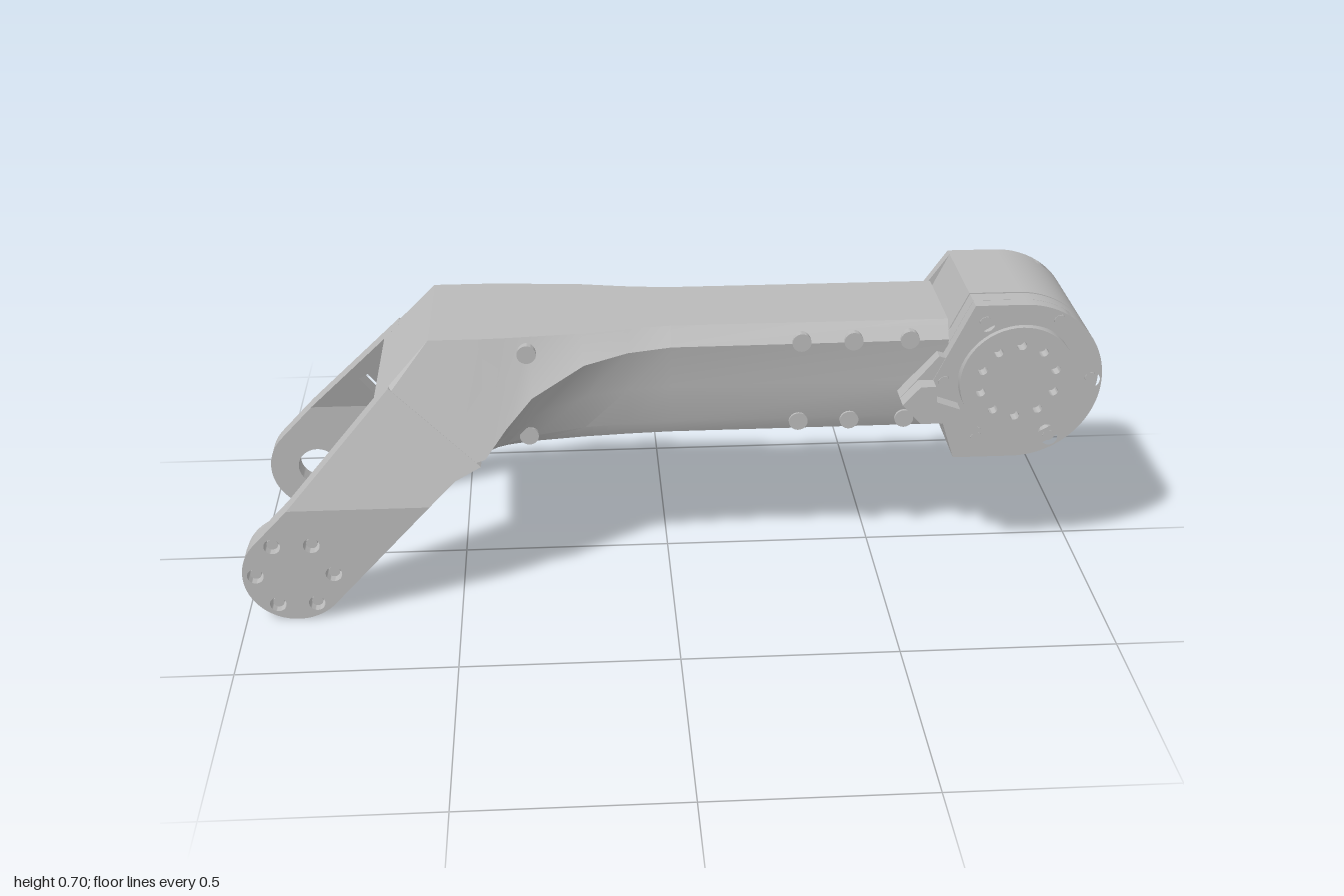
import * as THREE from 'three';
import { toCreasedNormals } from 'three/addons/utils/BufferGeometryUtils.js';

const gray = new THREE.MeshStandardMaterial({ color: 0xbababa });
gray.name = 'machined gray';

const MX = 0.805, MY = 0.51, MR = 0.195;   // motor axis and radius
const PX = -0.88, PY = 0.12, PR = 0.12;    // fork pivot and radius
const SLOPE = 0.344, CREASE = 0.29;        // lean of the fork sides above the crease

function add(group, name, geo, angle = 0.5) {
  const mesh = new THREE.Mesh(toCreasedNormals(geo, angle), gray);
  mesh.name = name;
  group.add(mesh);
}

function extrude(shape, z0, z1) {
  const geo = new THREE.ExtrudeGeometry(shape, { depth: z1 - z0, bevelEnabled: false, curveSegments: 28 });
  return geo.translate(0, 0, z0);
}

// disc whose axis runs along z
function disc(x, y, z0, z1, r) {
  return new THREE.CylinderGeometry(r, r, z1 - z0, 32).rotateX(Math.PI / 2).translate(x, y, (z0 + z1) / 2);
}

function circle(x, y, r) {
  return new THREE.Shape().absarc(x, y, r, 0, Math.PI * 2, false);
}

function hole(shape, x, y, r) {
  shape.holes.push(new THREE.Path().absarc(x, y, r, 0, Math.PI * 2, true));
}

function circlePoints(cx, cy, r, n, start = 0) {
  return Array.from({ length: n }, (_, i) => {
    const a = start + (i * Math.PI * 2) / n;
    return [cx + r * Math.cos(a), cy + r * Math.sin(a)];
  });
}

function polygon(points) {
  return new THREE.Shape(points.map(([x, y]) => new THREE.Vector2(x, y)));
}

// Beam flaring into the fork bridge: x, top y, top z, shoulder y, shoulder z, bottom y, bottom z
function beamGeometry() {
  const rows = [
    [-0.68, 0.51, 0.19, 0.49, 0.214, 0.48, 0.20],
    [-0.55, 0.65, 0.157, 0.33, 0.269, 0.31, 0.21],
    [-0.50, 0.65, 0.157, 0.37, 0.255, 0.335, 0.20],
    [-0.43, 0.65, 0.157, 0.39, 0.248, 0.37, 0.18],
    [-0.38, 0.65, 0.155, 0.455, 0.226, 0.375, 0.165],
    [-0.32, 0.65, 0.15, 0.52, 0.204, 0.375, 0.15],
    [-0.20, 0.65, 0.14, 0.588, 0.18, 0.375, 0.135],
    [-0.10, 0.65, 0.122, 0.605, 0.156, 0.375, 0.127],
    [0.0, 0.65, 0.11, 0.61, 0.142, 0.375, 0.122],
    [0.64, 0.65, 0.11, 0.61, 0.138, 0.375, 0.12],
  ];
  const rings = rows.map(([x, yt, zt, yc, zc, yb, zb]) => {
    const half = [
      [zt, yt], [zc, yc],
      [zb + 0.3 * (zc - zb), yb + 0.55 * (yc - yb)],
      [zb, yb + 0.15 * (yc - yb)], [zb - 0.015, yb],
    ];
    const ring = [...half, ...half.slice().reverse().map(([z, y]) => [-z, y])];
    return ring.map(([z, y]) => [x, y, z]);
  });
  const n = rings[0].length, idx = [];
  for (let i = 0; i < rings.length - 1; i++) {
    for (let j = 0; j < n; j++) {
      const a = i * n + j, b = i * n + ((j + 1) % n);
      idx.push(a, b, a + n, b, b + n, a + n);
    }
  }
  // end caps
  const last = (rings.length - 1) * n;
  for (let j = 1; j < n - 1; j++) {
    idx.push(0, j + 1, j);
    idx.push(last, last + j, last + j + 1);
  }
  const geo = new THREE.BufferGeometry();
  geo.setAttribute('position', new THREE.Float32BufferAttribute(rings.flat(2), 3));
  geo.setIndex(idx);
  return geo;
}

// Lower fork leg with rounded end
function legShape() {
  const start = 2.394, s = new THREE.Shape();
  s.moveTo(-0.884, CREASE);
  s.lineTo(PX + PR * Math.cos(start), PY + PR * Math.sin(start));
  s.absarc(PX, PY, PR, start, start + Math.PI, false);
  s.lineTo(-0.56, CREASE);
  s.closePath();
  return s;
}

// Upper fork leg, sheared inward; the optional slot cuts across it
function upperLeg(side, z0, z1, slot) {
  const s = polygon([[-0.884, CREASE], [-0.56, CREASE], [-0.5, 0.345], [-0.44, 0.375], [-0.643, 0.55]]);
  if (slot) {
    s.holes.push(polygon([[-0.731, 0.397], [-0.755, 0.383], [-0.705, 0.303], [-0.681, 0.317]]));
  }
  const geo = extrude(s, z0, z1), p = geo.attributes.position;
  for (let i = 0; i < p.count; i++) {
    p.setZ(i, p.getZ(i) - side * SLOPE * (p.getY(i) - CREASE));
  }
  return geo;
}

// Motor outline: round on the right, pointed towards the beam
function motorShape(tipX, tipY) {
  const s = new THREE.Shape();
  s.moveTo(0.69, MY + MR);
  s.lineTo(MX, MY + MR);
  s.absarc(MX, MY, MR, Math.PI / 2, -Math.PI / 2, true);
  s.lineTo(0.665, MY - MR);
  s.lineTo(tipX, tipY);
  s.closePath();
  return s;
}

export function createModel() {
  const model = new THREE.Group();
  model.name = 'robotArmLink';

  add(model, 'beam', beamGeometry(), 0.45);

  // Fork
  const fork = new THREE.Group();
  fork.name = 'fork';
  model.add(fork);
  const pivotBolts = circlePoints(PX, PY, 0.09, 6);
  const front = legShape();
  pivotBolts.forEach(([x, y]) => hole(front, x, y, 0.019));
  add(fork, 'frontLeg', extrude(front, 0.233, 0.283));
  add(fork, 'frontLegUpper', upperLeg(1, 0.233, 0.283, false));
  const back = legShape();
  hole(back, PX, PY, 0.05);
  add(fork, 'backLeg', extrude(back, -0.283, -0.235));
  add(fork, 'backLegUpper', upperLeg(-1, -0.283, -0.235, true));

  // Bearing pad inside the front leg
  const pad = circle(PX, PY, PR - 0.001);
  hole(pad, PX, PY, 0.06);
  pivotBolts.forEach(([x, y]) => hole(pad, x, y, 0.012));
  add(fork, 'pivotPad', extrude(pad, 0.21, 0.234));
  const hub = circle(PX, PY, 0.052);
  hole(hub, PX, PY, 0.04);
  add(fork, 'pivotHub', extrude(hub, 0.217, 0.234));
  pivotBolts.forEach(([x, y]) => add(fork, 'pivotBolt', disc(x, y, 0.235, 0.272, 0.013)));
  const rib = new THREE.BoxGeometry(0.13, 0.014, 0.012).rotateZ(0.823).translate(-0.725, 0.215, 0.229);
  add(fork, 'legRib', rib);

  // Motor
  const motor = new THREE.Group();
  motor.name = 'motor';
  model.add(motor);
  add(motor, 'motorBody', extrude(motorShape(0.6, MY), -0.142, 0.092));
  add(motor, 'motorSeam', disc(MX, MY, 0.09, 0.1, 0.188));

  const faceBolts = circlePoints(MX, MY, 0.172, 6);
  const ring = motorShape(0.6, MY);
  hole(ring, MX, MY, 0.145);
  faceBolts.forEach(([x, y]) => hole(ring, x, y, 0.019));
  add(motor, 'frontRing', extrude(ring, 0.135, 0.165));
  add(motor, 'frontRingBase', extrude(motorShape(0.6, MY), 0.098, 0.134));
  faceBolts.forEach(([x, y]) => add(motor, 'faceBolt', disc(x, y, 0.13, 0.155, 0.013)));

  const output = circle(MX, MY, 0.136);
  circlePoints(MX, MY, 0.09, 10, 0.3).forEach(([x, y]) => hole(output, x, y, 0.011));
  add(motor, 'outputDisc', extrude(output, 0.134, 0.161));

  const plate = motorShape(0.535, 0.48);
  hole(plate, MX, MY, 0.08);
  const plateBolts = [[0.705, 0.66], [0.905, 0.655], [0.905, 0.365], [0.705, 0.365]];
  plateBolts.forEach(([x, y]) => hole(plate, x, y, 0.019));
  add(motor, 'backPlate', extrude(plate, -0.165, -0.141));
  add(motor, 'backCap', disc(MX, MY, -0.157, -0.14, 0.076));
  plateBolts.forEach(([x, y]) => add(motor, 'plateBolt', disc(x, y, -0.158, -0.14, 0.013)));

  // Pointed lug and cable block beside the motor
  add(motor, 'motorLug', extrude(polygon([[0.53, 0.475], [0.59, 0.41], [0.62, 0.45], [0.6, 0.51], [0.63, 0.575], [0.615, 0.58]]), 0.12, 0.163));
  add(motor, 'cableBlock', extrude(polygon([
    [0.53, 0.475], [0.575, 0.425], [0.665, 0.425], [0.665, 0.46], [0.61, 0.48], [0.605, 0.52], [0.57, 0.52],
  ]), 0.155, 0.2));

  // Screw bosses along the beam sides
  const boss = (x, y, z) => add(model, 'beamScrew', disc(x, y, z - 0.02, z + 0.02, 0.022));
  [0.3, 0.42, 0.55].forEach((x) => {
    boss(x, 0.612, 0.121);
    boss(x, 0.402, 0.107);
  });
  boss(0.42, 0.612, -0.121);
  boss(0.42, 0.402, -0.107);
  boss(-0.33, 0.615, 0.153);
  boss(-0.33, 0.402, 0.142);

  return model;
}
